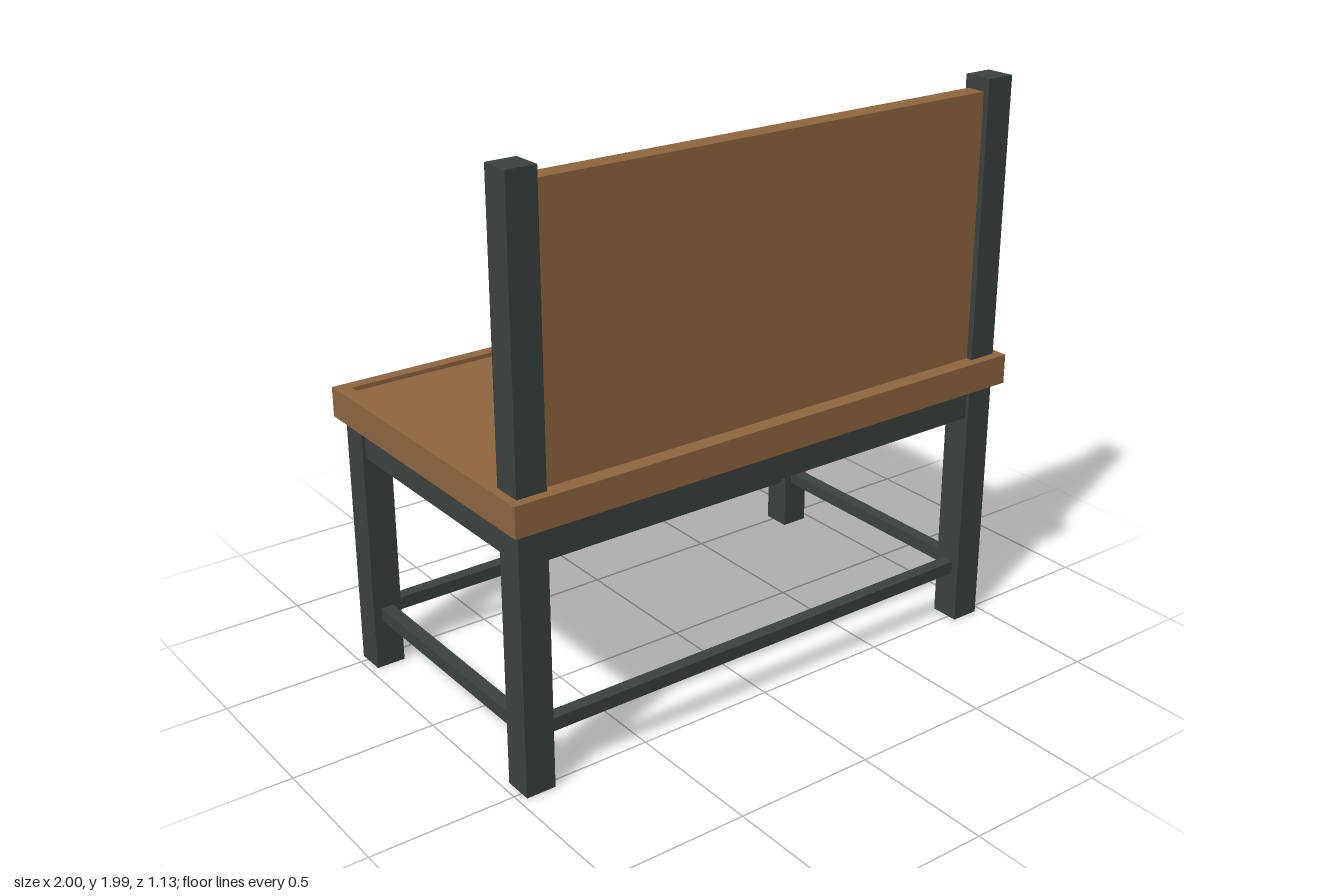
import * as THREE from 'three';

const mat = (name, color) => {
  const m = new THREE.MeshStandardMaterial({ color });
  m.name = name;
  return m;
};

export function createModel() {
  const model = new THREE.Group();
  model.name = 'workbench';
  const wood = mat('wood', 0x90673f);
  const steel = mat('painted steel', 0x3b4241);
  const handleWood = mat('dark handle wood', 0x6a3c1c);
  const grip = mat('tool grip', 0x4a2c14);
  const blade = mat('blade metal', 0x6e7070);
  const paper = mat('paper', 0xb4b4b4);

  const add = (parent, name, geometry, material, x = 0, y = 0, z = 0) => {
    const mesh = new THREE.Mesh(geometry, material);
    mesh.name = name;
    mesh.position.set(x, y, z);
    parent.add(mesh);
    return mesh;
  };
  const box = (parent, name, material, w, h, d, x, y, z) =>
    add(parent, name, new THREE.BoxGeometry(w, h, d), material, x, y, z);
  const group = (name) => {
    const g = new THREE.Group();
    g.name = name;
    model.add(g);
    return g;
  };
  const outline = (points) => new THREE.Shape(points.map((p) => new THREE.Vector2(...p)));
  const extrude = (shape, depth) =>
    new THREE.ExtrudeGeometry(shape, { depth, bevelEnabled: false });

  // Frame: tall front posts, short back legs, aprons and stretchers
  const frame = group('frame');
  const legX = 0.92, legZ = 0.48;
  for (const s of [-1, 1]) {
    box(frame, 'frontPost', steel, 0.104, 1.99, 0.104, s * legX, 0.995, legZ);
    box(frame, 'backLeg', steel, 0.104, 0.91, 0.104, s * legX, 0.455, -legZ);
    box(frame, 'longApron', steel, 1.74, 0.115, 0.08, 0, 0.8525, s * legZ);
    box(frame, 'sideApron', steel, 0.08, 0.115, 0.86, s * legX, 0.8525, 0);
    box(frame, 'longStretcher', steel, 1.74, 0.046, 0.046, 0, 0.202, s * legZ);
    box(frame, 'sideStretcher', steel, 0.046, 0.046, 0.86, s * legX, 0.202, 0);
  }

  // Worktop: a raised rim around a slightly sunken work surface
  const worktop = group('worktop');
  box(worktop, 'workSurface', wood, 2, 0.09, 1.13, 0, 0.955, 0);
  const rim = outline([[-1, -0.565], [1, -0.565], [1, 0.565], [-1, 0.565]]);
  rim.holes.push(outline([[-0.95, -0.39], [-0.95, 0.52], [0.95, 0.52], [0.95, -0.39]]));
  add(worktop, 'rim', extrude(rim, 0.015).rotateX(-Math.PI / 2), wood, 0, 1, 0);

  // Upright tool board between the posts
  const face = 0.44;
  box(model, 'toolBoard', wood, 1.74, 0.935, 0.07, 0, 1.4775, face + 0.035);

  // Hand saw: tapered toothed blade and a chamfered handle with a grip hole
  const saw = group('handSaw');
  const edge = [[0.755, 1.74], [0.717, 1.35], [0.643, 1.35]];
  const teeth = 24;
  for (let i = 0; i < teeth; i++) {
    const t = (i + 0.5) / teeth;
    edge.push([0.643 - 0.02 * t - (i % 2 ? 0.004 : -0.003), 1.35 + 0.38 * t]);
  }
  edge.push([0.625, 1.74]);
  add(saw, 'sawBlade', extrude(outline(edge), 0.006), blade, 0, 0, 0.424);
  const handle = outline([[-0.068, -0.04], [-0.04, -0.068], [0.045, -0.068], [0.068, -0.04],
    [0.068, 0.045], [0.045, 0.068], [-0.045, 0.068], [-0.068, 0.045]]);
  handle.holes.push(outline([[-0.032, -0.012], [-0.016, 0.024], [0.016, 0.024],
    [0.032, 0.012], [0.028, -0.016], [-0.016, -0.024]]));
  add(saw, 'sawHandle', extrude(handle, 0.035), handleWood, 0.697, 1.777, 0.405);

  // Screwdrivers
  for (const x of [0.335, 0.43, 0.525]) {
    const driver = group('screwdriver');
    add(driver, 'grip', new THREE.CylinderGeometry(0.012, 0.01, 0.125, 8), grip, x, 1.765, 0.428);
    add(driver, 'shaft', new THREE.CylinderGeometry(0.005, 0.005, 0.15, 8), blade, x, 1.63, 0.428);
  }

  // Pinned sheets in two rows
  const sheets = group('sheets');
  for (const x of [-0.285, -0.495, -0.705]) {
    for (const y of [1.765, 1.553]) {
      box(sheets, 'sheet', paper, 0.19, 0.195, 0.004, x, y, face - 0.002);
      box(sheets, 'pin', handleWood, 0.014, 0.014, 0.006, x, y + 0.092, face - 0.003);
    }
  }

  // Small peg holes along the edge of the board
  const pegs = group('pegHoles');
  const pegHole = (x, y) => box(pegs, 'pegHole', grip, 0.012, 0.012, 0.002, x, y, face - 0.001);
  for (let i = 0; i < 13; i++) pegHole(-0.826, 1.04 + i * 0.07);
  for (let i = 0; i < 5; i++) pegHole(-0.756, 1.18 + i * 0.055);

  return model;
}
